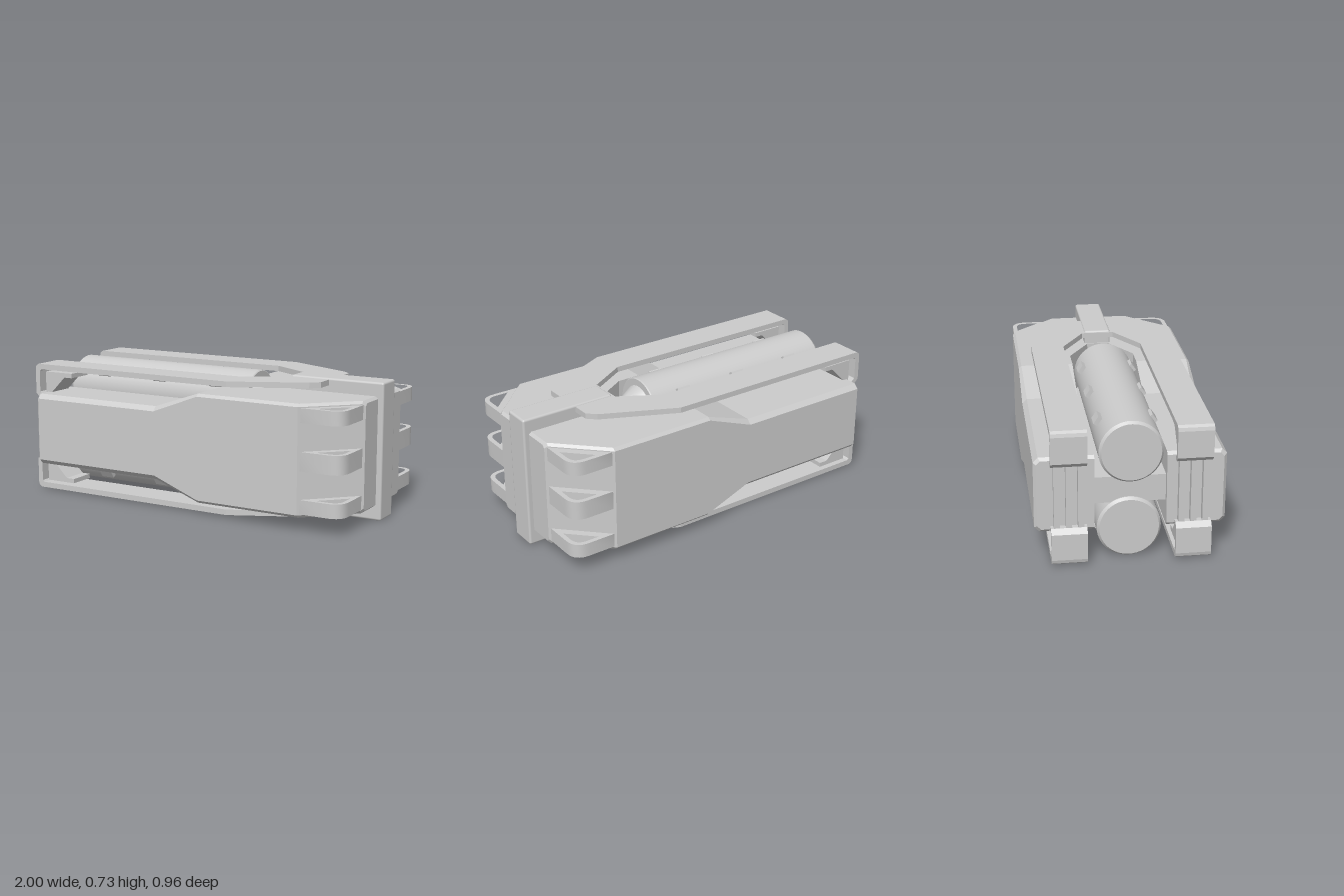
import * as THREE from 'three';
import { toCreasedNormals } from 'three/addons/utils/BufferGeometryUtils.js';
import { RoundedBoxGeometry } from 'three/addons/geometries/RoundedBoxGeometry.js';

const MID = 0.367; // height of the symmetry plane; parts are built around y = 0
const mat = new THREE.MeshStandardMaterial({ color: 0xcccccc });
const flat = new THREE.MeshStandardMaterial({ color: 0xcccccc, flatShading: true });

function add(parent, name, geo, x = 0, y = 0, z = 0, material = mat) {
  const m = new THREE.Mesh(geo, material);
  m.name = name;
  m.position.set(x, y, z);
  parent.add(m);
  return m;
}

const shapeOf = (pts) => new THREE.Shape(pts.map(([x, y]) => new THREE.Vector2(x, y)));
const extrude = (shape, depth) =>
  new THREE.ExtrudeGeometry(shape, { depth, bevelEnabled: false, curveSegments: 8 });

// Solid through cross-sections along x: [x, inner z, outer z, half height, edge chamfer]
function loftHalf(stations) {
  const pos = [], idx = [], n = 6;
  for (const [x, zi, zo, h, b] of stations) {
    pos.push(x, h, zi, x, h, zo - b, x, h - b, zo, x, b - h, zo, x, -h, zo - b, x, -h, zi);
  }
  for (let i = 0; i < stations.length - 1; i++) {
    for (let j = 0; j < n; j++) {
      const a = i * n + j, b = i * n + (j + 1) % n;
      idx.push(a, b, b + n, a, b + n, a + n);
    }
  }
  const last = (stations.length - 1) * n;
  for (let j = 1; j < n - 1; j++) {
    idx.push(0, j + 1, j, last, last + j, last + j + 1);
  }
  const g = new THREE.BufferGeometry();
  g.setAttribute('position', new THREE.Float32BufferAttribute(pos, 3));
  g.setIndex(idx);
  return g;
}

// Corner loop with a rounded triangular opening, drawn in x/z
function loopGeometry(height) {
  const s = new THREE.Shape();
  s.moveTo(0.72, 0.47);
  s.lineTo(0.87, 0.47);
  s.quadraticCurveTo(0.955, 0.47, 0.955, 0.385);
  s.lineTo(0.955, 0.23);
  s.lineTo(0.93, 0.23);
  s.lineTo(0.7, 0.46);
  const hole = new THREE.Path();
  hole.moveTo(0.8, 0.446);
  hole.lineTo(0.87, 0.446);
  hole.quadraticCurveTo(0.93, 0.446, 0.93, 0.385);
  hole.lineTo(0.93, 0.315);
  hole.closePath();
  s.holes.push(hole);
  const g = extrude(s, height);
  g.rotateX(Math.PI / 2); // shape y becomes z
  g.translate(0, height / 2, 0);
  return toCreasedNormals(g, 0.6);
}

// Everything on the +z side; a half turn about x gives the other side
function buildSide() {
  const side = new THREE.Group();
  side.name = 'sideHalf';

  add(side, 'bodyShell', loftHalf([
    [-0.94, 0.18, 0.465, 0.185, 0.02],
    [-0.925, 0.18, 0.48, 0.2, 0.025],
    [-0.15, 0.18, 0.48, 0.2, 0.025],
    [0.12, 0.18, 0.48, 0.293, 0.015],
    [0.25, 0.18, 0.48, 0.293, 0.015],
    [0.45, 0.06, 0.48, 0.293, 0.015],
    [0.455, 0, 0.48, 0.293, 0.015],
    [0.71, 0, 0.48, 0.293, 0.015],
    [0.95, 0, 0.24, 0.293, 0.015],
    [0.965, 0, 0.225, 0.28, 0.015],
  ]), 0, 0, 0, flat);

  for (const [y, h] of [[0.235, 0.075], [0, 0.1], [-0.235, 0.075]]) {
    add(side, 'cornerLoop', loopGeometry(h), 0, y, 0);
  }

  for (const s of [1, -1]) {
    // Hook bending each rail over the open end
    const hook = [
      [-0.94, 0.358], [-0.98, 0.358], [-0.995, 0.348], [-1, 0.33], [-1, 0.19], [-0.975, 0.165],
      [-0.945, 0.165], [-0.945, 0.175], [-0.972, 0.2], [-0.972, 0.318], [-0.96, 0.328], [-0.94, 0.328],
    ].map(([x, y]) => [x, y * s]);
    add(side, 'endHook', extrude(shapeOf(hook), 0.18), 0, 0, 0.22);
    // Gusset under the rail
    const gusset = [
      [-0.94, 0.18], [-0.9, 0.2], [-0.81, 0.29], [-0.76, 0.29], [-0.76, 0.315], [-0.94, 0.315],
    ].map(([x, y]) => [x, y * s]);
    add(side, 'railGusset', extrude(shapeOf(gusset), 0.15), 0, 0, 0.235);
  }

  for (const z of [0.25, 0.31, 0.37]) {
    add(side, 'endSlat', new THREE.BoxGeometry(0.04, 0.36, 0.03), -0.955, 0, z);
  }
  return side;
}

// Cylinder, shoulder, neck, clips and rail plate of the upper face
function buildFace() {
  const face = new THREE.Group();
  face.name = 'faceHalf';

  const half = [[-0.95, 0.4], [0.25, 0.4], [0.64, 0.215], [0.685, 0.17]];
  const inner = [[0.45, 0.09], [0.23, 0.22], [-0.95, 0.22]];
  const flip = (pts) => pts.map(([x, z]) => [x, -z]).reverse();
  const plate = extrude(shapeOf([...half, ...flip(half), ...flip(inner), ...inner]), 0.03);
  plate.rotateX(-Math.PI / 2);
  add(face, 'railPlate', plate, 0, 0.328, 0);

  const profile = [
    [0, -0.93], [0.15, -0.93], [0.162, -0.915], [0.162, 0.235], [0.157, 0.24], [0.12, 0.24],
    [0.115, 0.25], [0.055, 0.36], [0.04, 0.36], [0.04, 0.395], [0.06, 0.395], [0.06, 0.44], [0, 0.44],
  ].map(([r, x]) => new THREE.Vector2(r, x));
  const tank = new THREE.LatheGeometry(profile, 48);
  tank.rotateZ(-Math.PI / 2); // axis along x
  add(face, 'tank', toCreasedNormals(tank, 0.5), 0, 0.203, 0.005);

  for (const x of [-0.7, -0.325, 0.04]) {
    for (const s of [1, -1]) {
      const clip = add(face, 'tankClip', new THREE.BoxGeometry(0.08, 0.045, 0.03), x, 0.295, s * 0.137);
      clip.rotation.x = -s * 0.6;
    }
  }
  return face;
}

export function createModel() {
  const root = new THREE.Group();
  root.name = 'twinTankCase';
  const body = new THREE.Group();
  body.name = 'assembly';
  body.position.y = MID;
  root.add(body);

  for (const build of [buildSide, buildFace]) {
    const a = build();
    const b = build();
    b.rotation.x = Math.PI;
    body.add(a, b);
  }

  // Web between the two tanks
  add(body, 'centreWeb', new THREE.BoxGeometry(1.37, 0.14, 0.37), -0.225, 0, 0);

  // Strap wrapping the closed end
  add(body, 'endStrap', new RoundedBoxGeometry(0.535, 0.732, 0.15, 2, 0.012), 0.7275, 0, 0);
  return root;
}
